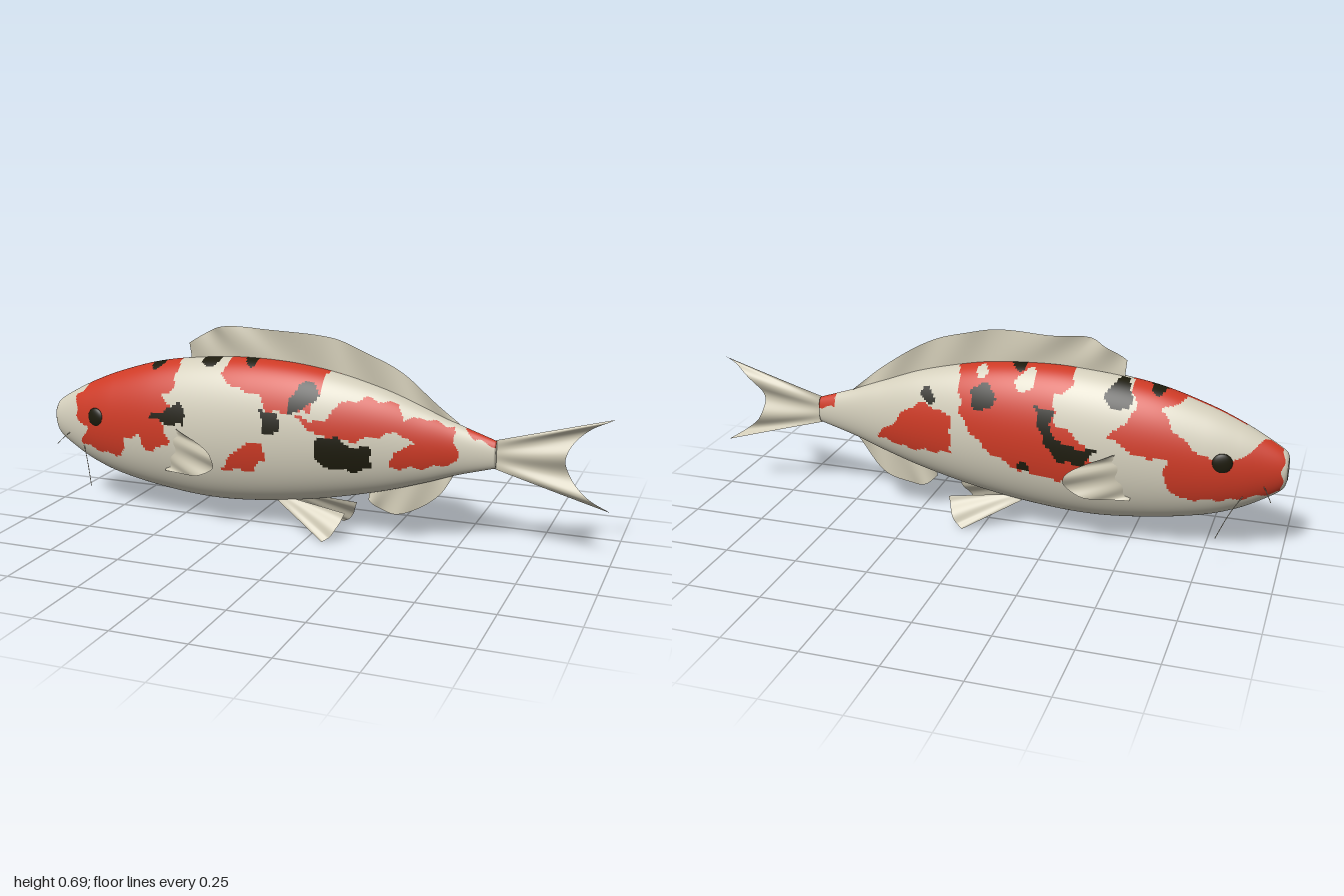
import * as THREE from 'three';

const mat = (name, color, side = THREE.FrontSide) => {
  const m = new THREE.MeshStandardMaterial({ color, side });
  m.name = name;
  return m;
};

// Body stations from snout to tail root: x, top, bottom, half width
const STATIONS = [
  [-1, 0.365, 0.285, 0.028], [-0.985, 0.385, 0.25, 0.04], [-0.925, 0.422, 0.208, 0.06],
  [-0.845, 0.463, 0.166, 0.083], [-0.738, 0.507, 0.13, 0.106], [-0.578, 0.555, 0.1, 0.126],
  [-0.39, 0.583, 0.082, 0.136], [-0.203, 0.592, 0.09, 0.135], [0.01, 0.576, 0.12, 0.123],
  [0.225, 0.527, 0.168, 0.092], [0.385, 0.468, 0.217, 0.062], [0.49, 0.427, 0.254, 0.041],
  [0.62, 0.382, 0.291, 0.02],
];

// Coloured patches as x, y outlines seen from the side, and round spots as x, y, radius
const LEFT = {
  red: [
    [-0.9, 0.41, -0.82, 0.5, -0.6, 0.62, -0.49, 0.62, -0.487, 0.53, -0.48, 0.495, -0.52, 0.457, -0.48, 0.415,
      -0.535, 0.39, -0.49, 0.307, -0.55, 0.265, -0.59, 0.26, -0.62, 0.313, -0.674, 0.286, -0.695, 0.222,
      -0.8, 0.227, -0.88, 0.25, -0.835, 0.307, -0.888, 0.34],
    [-0.31, 0.537, -0.3, 0.62, 0.04, 0.62, 0.048, 0.52, 0.01, 0.452, -0.07, 0.436, -0.134, 0.447, -0.176, 0.495, -0.257, 0.505],
    [-0.3, 0.222, -0.28, 0.265, -0.2, 0.33, -0.145, 0.33, -0.135, 0.285, -0.185, 0.23],
    [-0.03, 0.43, 0.065, 0.42, 0.107, 0.48, 0.2, 0.5, 0.305, 0.484, 0.32, 0.436, 0.375, 0.447, 0.48, 0.42,
      0.505, 0.307, 0.385, 0.28, 0.283, 0.275, 0.29, 0.33, 0.36, 0.36, 0.305, 0.4, 0.17, 0.36, 0.04, 0.377],
    [0.48, 0.45, 0.63, 0.41, 0.63, 0.365, 0.55, 0.385],
  ],
  black: [
    [-0.51, 0.425, -0.44, 0.437, -0.43, 0.37, -0.48, 0.36, -0.57, 0.38, -0.57, 0.395, -0.51, 0.4],
    [-0.07, 0.46, -0.03, 0.53, 0.025, 0.545, 0.037, 0.495, -0.015, 0.45, -0.055, 0.44],
    [-0.16, 0.445, -0.09, 0.435, -0.085, 0.37, -0.135, 0.365],
    [0.04, 0.36, 0.107, 0.377, 0.135, 0.345, 0.22, 0.34, 0.225, 0.275, 0.17, 0.255, 0.065, 0.265, 0.03, 0.3],
    [-0.58, 0.565, 0.028], [-0.375, 0.59, 0.032], [-0.22, 0.598, 0.025],
  ],
  cream: [],
};
const RIGHT = {
  red: [
    [-0.985, 0.25, -0.985, 0.42, -0.92, 0.42, -0.83, 0.35, -0.76, 0.36, -0.67, 0.42, -0.6, 0.5, -0.69, 0.54, -0.69, 0.62,
      -0.48, 0.62, -0.52, 0.5, -0.44, 0.41, -0.53, 0.36, -0.63, 0.35, -0.62, 0.28, -0.67, 0.215, -0.84, 0.22],
    [0.1, 0.62, 0.06, 0.41, -0.03, 0.31, -0.15, 0.25, -0.33, 0.235, -0.4, 0.3, -0.36, 0.38, -0.26, 0.44,
      -0.25, 0.52, -0.31, 0.55, -0.3, 0.62],
    [0.39, 0.285, 0.227, 0.44, 0.17, 0.43, 0.1, 0.41, 0.1, 0.277, 0.26, 0.262],
    [0.55, 0.41, 0.63, 0.41, 0.63, 0.35, 0.56, 0.36],
  ],
  black: [
    [-0.19, 0.49, -0.25, 0.47, -0.25, 0.4, -0.33, 0.36, -0.4, 0.36, -0.36, 0.3, -0.28, 0.31, -0.23, 0.36],
    [-0.01, 0.486, 0.042], [0.19, 0.465, 0.024], [-0.11, 0.6, 0.026],
    [-0.58, 0.562, 0.022], [-0.46, 0.535, 0.042], [-0.16, 0.27, 0.02],
  ],
  cream: [[0.007, 0.56, 0.018], [-0.15, 0.55, 0.032]],
};

function covers(p, x, y) {
  if (p.length === 3) return Math.hypot(x - p[0], y - p[1]) < p[2];
  let inside = false;
  for (let i = 0, j = p.length - 2; i < p.length; j = i, i += 2) {
    if ((p[i + 1] > y) !== (p[j + 1] > y) &&
      x < p[i] + ((p[j] - p[i]) * (y - p[i + 1])) / (p[j + 1] - p[i + 1])) inside = !inside;
  }
  return inside;
}

// 0 cream, 1 red, 2 black; outlines get a slight waver
function patchAt(x, y, z) {
  const u = x + 0.005 * Math.sin(y * 95 + x * 20), v = y + 0.005 * Math.sin(x * 85);
  const side = z >= 0 ? LEFT : RIGHT;
  const hit = (list) => list.some((p) => covers(p, u, v));
  if (hit(side.black)) return 2;
  return hit(side.red) && !hit(side.cream) ? 1 : 0;
}

function bodyGeometry(rings = 300, around = 144) {
  const outline = new THREE.CatmullRomCurve3(STATIONS.map((s) => new THREE.Vector3(s[0], s[1], s[2])), false, 'catmullrom', 0.5);
  const width = new THREE.CatmullRomCurve3(STATIONS.map((s) => new THREE.Vector3(s[0], s[3], 0)), false, 'catmullrom', 0.5);
  const pos = [], sets = [[], [], []];
  for (let i = -1; i <= rings + 1; i++) {
    const t = Math.min(Math.max(i / rings, 0), 1), cap = i < 0 || i > rings ? 0.001 : 1;
    const o = outline.getPoint(t), w = width.getPoint(t).y * cap;
    for (let j = 0; j < around; j++) {
      const a = (j / around) * Math.PI * 2;
      pos.push(o.x, (o.y + o.z) / 2 + ((o.y - o.z) / 2) * cap * Math.cos(a), w * Math.sin(a));
    }
  }
  for (let i = 0; i < rings + 2; i++) {
    for (let j = 0; j < around; j++) {
      const k = (j + 1) % around;
      const a = i * around + j, b = i * around + k, c = a + around, d = b + around;
      const mid = (n) => (pos[a * 3 + n] + pos[d * 3 + n]) / 2;
      sets[patchAt(mid(0), mid(1), mid(2))].push(a, b, c, b, d, c);
    }
  }
  const g = new THREE.BufferGeometry();
  g.setAttribute('position', new THREE.Float32BufferAttribute(pos, 3));
  g.setIndex(sets.flat());
  let start = 0;
  sets.forEach((s, m) => { g.addGroup(start, s.length, m); start += s.length; });
  g.computeVertexNormals();
  return g;
}

// Thin rippled sheet between a root curve and an outer edge curve
function finGeometry(root, edge, ripple, waves, side = 1, nu = 64, nv = 10) {
  const curve = (pts) => new THREE.CatmullRomCurve3(pts.map((p) => new THREE.Vector3(p[0], p[1], (p[2] || 0) * side)));
  const r = curve(root), e = curve(edge), pos = [], idx = [];
  for (let i = 0; i <= nu; i++) {
    const u = i / nu, p = r.getPoint(u), q = e.getPoint(u);
    for (let j = 0; j <= nv; j++) {
      const v = j / nv, s = p.clone().lerp(q, v);
      pos.push(s.x, s.y, s.z + side * ripple * v * Math.sin(u * waves * Math.PI * 2 + v));
      if (i < nu && j < nv) {
        const a = i * (nv + 1) + j, b = a + nv + 1;
        idx.push(a, b, a + 1, b, b + 1, a + 1);
      }
    }
  }
  const g = new THREE.BufferGeometry();
  g.setAttribute('position', new THREE.Float32BufferAttribute(pos, 3));
  g.setIndex(idx);
  g.computeVertexNormals();
  return g;
}

export function createModel() {
  const fish = new THREE.Group();
  fish.name = 'fish';
  const cream = mat('cream skin', 0xd3cebb), red = mat('red patches', 0xcd3a25), black = mat('black patches', 0x1d1b0d);
  const finMat = mat('fin cream', 0xcdc7b2, THREE.DoubleSide);
  const add = (name, geometry, material) => {
    const m = new THREE.Mesh(geometry, material);
    m.name = name;
    fish.add(m);
    return m;
  };

  add('body', bodyGeometry(), [cream, red, black]);

  // Fins on the centre line
  add('dorsalFin', finGeometry(
    [[-0.46, 0.56], [-0.3, 0.575], [-0.1, 0.575], [0.1, 0.545], [0.3, 0.49], [0.49, 0.415]],
    [[-0.465, 0.628], [-0.4, 0.668], [-0.34, 0.693], [-0.2, 0.691], [0, 0.687], [0.12, 0.66], [0.25, 0.607], [0.38, 0.52], [0.495, 0.425]],
    0.009, 4.5), finMat);
  add('tailFin', finGeometry(
    [[0.61, 0.383], [0.61, 0.337], [0.61, 0.29]],
    [[0.99, 0.49], [0.92, 0.45], [0.86, 0.39], [0.843, 0.335], [0.86, 0.28], [0.92, 0.225], [0.99, 0.18]],
    0.012, 2.5), finMat);
  add('analFin', finGeometry(
    [[0.19, 0.17], [0.28, 0.195], [0.38, 0.225], [0.49, 0.265]],
    [[0.19, 0.135], [0.225, 0.105], [0.28, 0.095], [0.36, 0.12], [0.44, 0.185], [0.49, 0.27]],
    0.008, 2.5), finMat);

  // Paired fins, eyes and barbels
  for (const [label, s] of [['left', 1], ['right', -1]]) {
    add(label + 'PectoralFin', finGeometry(
      [[-0.47, 0.35, 0.122], [-0.515, 0.33, 0.12], [-0.52, 0.27, 0.115], [-0.52, 0.205, 0.1]],
      [[-0.46, 0.357, 0.137], [-0.38, 0.322, 0.163], [-0.312, 0.28, 0.176], [-0.31, 0.24, 0.174], [-0.36, 0.208, 0.16], [-0.43, 0.195, 0.145], [-0.515, 0.195, 0.115]],
      0.007, 3, s), finMat);
    add(label + 'PelvicFin', finGeometry(
      [[-0.13, 0.105, 0.035], [-0.1, 0.115, 0.035], [-0.07, 0.118, 0.035]],
      [[0.06, 0.004, 0.11], [0.085, 0.02, 0.108], [0.11, 0.06, 0.085], [0.125, 0.097, 0.06]],
      0.004, 2, s, 32), finMat);

    const eye = add(label + 'Eye', new THREE.SphereGeometry(0.034, 24, 16), black);
    eye.scale.z = 0.35;
    eye.position.set(-0.8, 0.35, s * 0.088);
    eye.rotation.y = -s * 0.2;

    const barbels = [
      [[-0.93, 0.275, 0.05], [-0.945, 0.26, 0.07], [-0.96, 0.24, 0.092]],
      [[-0.87, 0.235, 0.06], [-0.835, 0.185, 0.1], [-0.8, 0.113, 0.14]],
    ];
    barbels.forEach((pts, i) => {
      const path = new THREE.CatmullRomCurve3(pts.map((p) => new THREE.Vector3(p[0], p[1], s * p[2])));
      add(label + (i ? 'Long' : 'Short') + 'Barbel', new THREE.TubeGeometry(path, 12, 0.0013, 6), finMat);
    });
  }
  return fish;
}
